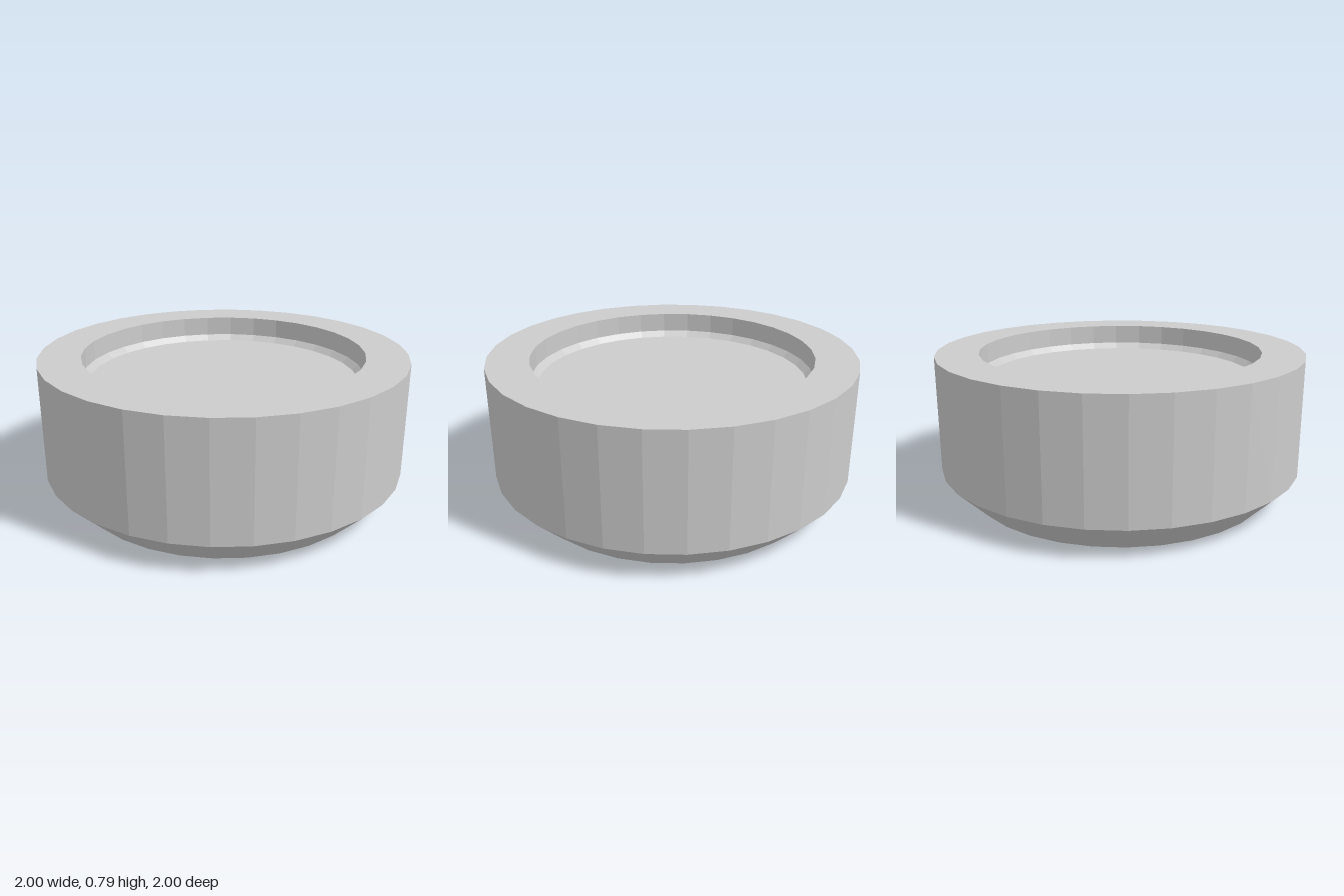
import * as THREE from 'three';

export function createModel() {
  const group = new THREE.Group();
  group.name = 'recessedDisc';

  const grey = new THREE.MeshStandardMaterial({ color: 0xcccccc });
  grey.name = 'light grey';
  grey.flatShading = true;

  const sides = 32;
  const addLathe = (name, profile) => {
    const points = profile.map(([r, y]) => new THREE.Vector2(r, y));
    const mesh = new THREE.Mesh(new THREE.LatheGeometry(points, sides), grey);
    mesh.name = name;
    group.add(mesh);
  };

  // Chamfered base, straight outer wall, flat rim
  addLathe('body', [[0, 0], [0.835, 0], [1, 0.165], [1, 0.79], [0.77, 0.79]]);

  // Shallow recess with a small bevel around its floor
  addLathe('recess', [[0.77, 0.79], [0.77, 0.68], [0.738, 0.648], [0, 0.648]]);

  return group;
}
